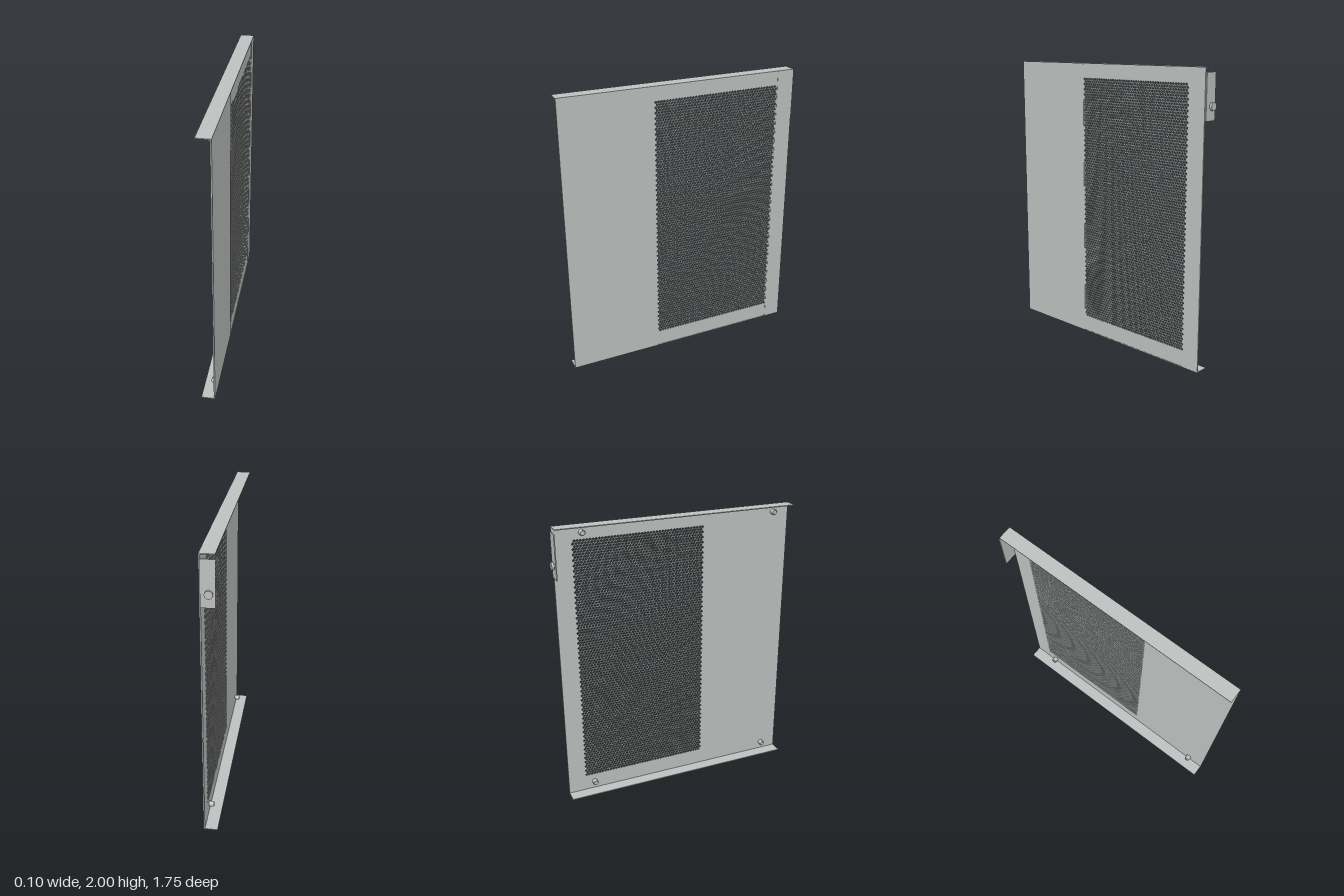
import * as THREE from 'three';
import { mergeGeometries } from 'three/addons/utils/BufferGeometryUtils.js';

const OUTER = 0.049, THICK = 0.009;
const FRONT = 0.873, BACK = -0.845;
const VENT = { z0: -0.72, z1: 0.217, y0: 0.12, y1: 1.9 };
const COLS = 44, ROWS = 98;

export function createModel() {
  const group = new THREE.Group();
  const steel = new THREE.MeshStandardMaterial({ color: 0xbcc0be });
  steel.name = 'painted steel';

  const add = (name, geometry, parent = group) => {
    const mesh = new THREE.Mesh(geometry, steel);
    mesh.name = name;
    parent.add(mesh);
    return mesh;
  };
  // Box given by its limits on each axis
  const box = (name, x0, x1, y0, y1, z0, z1) => {
    const mesh = add(name, new THREE.BoxGeometry(x1 - x0, y1 - y0, z1 - z0));
    mesh.position.set((x0 + x1) / 2, (y0 + y1) / 2, (z0 + z1) / 2);
    return mesh;
  };

  // Solid sheets around the slightly recessed vent
  const inner = OUTER - THICK, recess = OUTER - 0.002;
  box('frontSheet', inner, OUTER, 0, 2, VENT.z1, FRONT);
  box('rearSheet', inner, OUTER, 0, 2, BACK, VENT.z0);
  box('ventTopBorder', inner, recess, VENT.y1, 2, VENT.z0, VENT.z1);
  box('ventBottomBorder', inner, recess, 0, VENT.y0, VENT.z0, VENT.z1);

  // Honeycomb vent, built from alternating rows of hexagonal holes
  const width = VENT.z1 - VENT.z0, rowHeight = (VENT.y1 - VENT.y0) / ROWS;
  const pitch = width / (COLS + 0.5), holeRadius = 0.0084;
  const makeRow = (offset) => {
    const strip = new THREE.Shape();
    strip.moveTo(0, 0).lineTo(width, 0).lineTo(width, rowHeight).lineTo(0, rowHeight);
    for (let c = 0; c < COLS; c++) {
      const points = [];
      for (let k = 0; k < 6; k++) {
        const a = Math.PI / 6 - k * Math.PI / 3;
        points.push(new THREE.Vector2(
          (c + offset) * pitch + holeRadius * Math.cos(a),
          rowHeight / 2 + holeRadius * Math.sin(a)));
      }
      strip.holes.push(new THREE.Path(points));
    }
    const geometry = new THREE.ExtrudeGeometry(strip, { depth: recess - inner, bevelEnabled: false });
    return geometry.rotateY(-Math.PI / 2).translate(recess, VENT.y0, VENT.z0);
  };
  const rows = [makeRow(0.5), makeRow(1)];
  const strips = [];
  for (let r = 0; r < ROWS; r++) strips.push(rows[r % 2].clone().translate(0, r * rowHeight, 0));
  add('honeycombVent', mergeGeometries(strips));

  // Inward folds along the top and bottom
  box('topFlange', -0.047, OUTER, 1.994, 2, BACK, FRONT);
  box('bottomFlange', -0.047, OUTER, 0, 0.006, BACK, FRONT);

  // Rear fixing tab with its thumbscrew
  box('rearTab', -0.049, inner + 0.002, 1.67, 1.97, BACK - 0.007, BACK);
  const screw = new THREE.Group();
  screw.name = 'thumbscrew';
  screw.position.set(-0.01, 1.76, BACK - 0.007);
  screw.rotation.x = -Math.PI / 2;
  group.add(screw);
  add('screwNeck', new THREE.CylinderGeometry(0.018, 0.018, 0.006, 24), screw).position.y = 0.002;
  add('screwHead', new THREE.CylinderGeometry(0.026, 0.026, 0.016, 24), screw).position.y = 0.013;

  // Locating studs on the inner face
  for (const y of [0.06, 1.945]) {
    for (const z of [-0.65, 0.75]) {
      const stud = add('locatingStud', new THREE.LatheGeometry([
        new THREE.Vector2(0.019, 0), new THREE.Vector2(0.019, 0.029),
        new THREE.Vector2(0.019, 0.029), new THREE.Vector2(0.015, 0.035),
        new THREE.Vector2(0.015, 0.035), new THREE.Vector2(0, 0.035),
      ], 24));
      stud.rotation.z = Math.PI / 2;
      stud.position.set(inner, y, z);
    }
  }
  return group;
}
